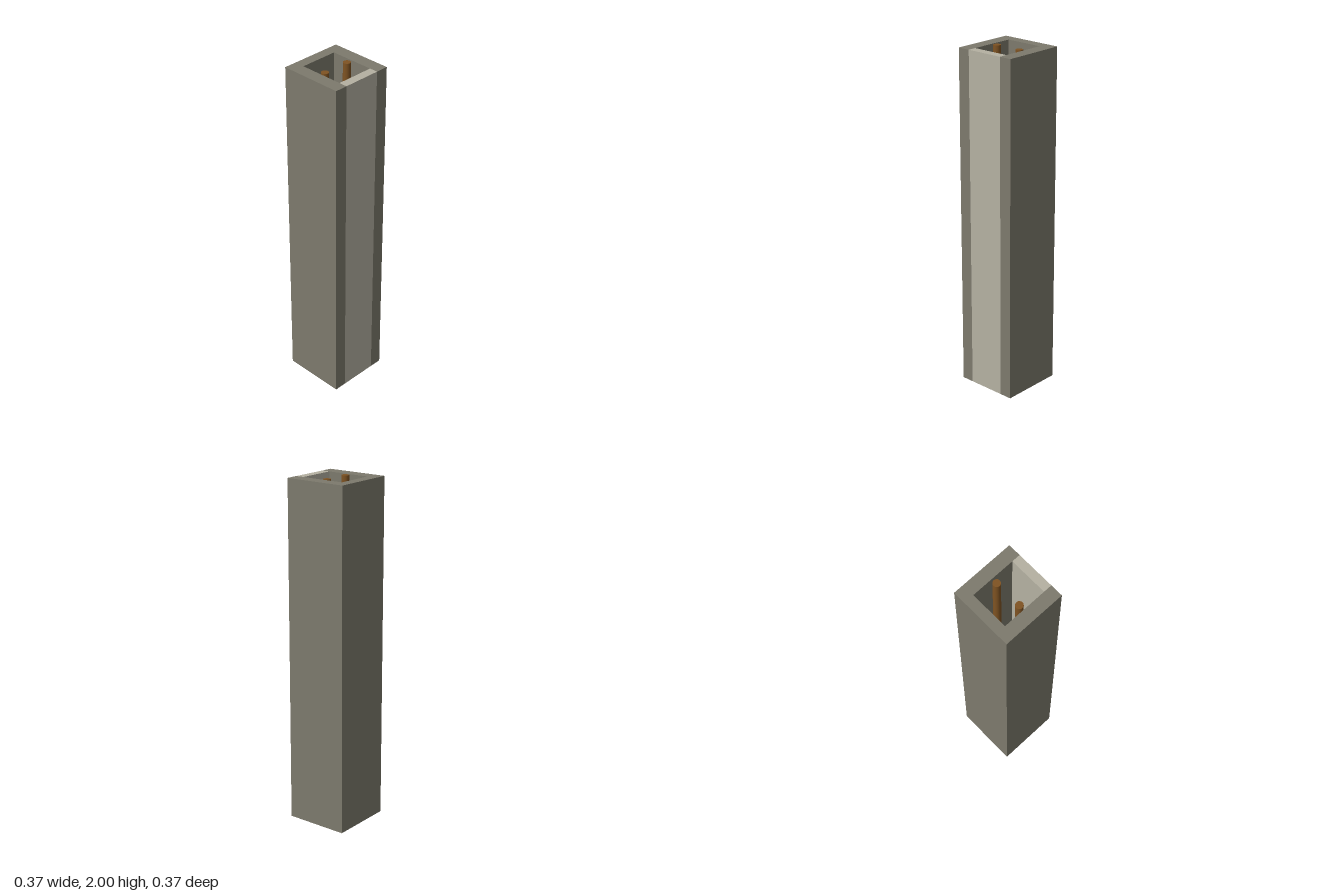
import * as THREE from 'three';

const HEIGHT = 2, HALF = 0.187, INNER_X = 0.113, BACK_Z = -0.127, COVER_Z = 0.137;

export function createModel() {
  const group = new THREE.Group();
  const stone = new THREE.MeshStandardMaterial({ name: 'dark stone', color: 0x7d7a6d });
  const pale = new THREE.MeshStandardMaterial({ name: 'pale stone', color: 0xb5b1a2 });
  const copper = new THREE.MeshStandardMaterial({ name: 'copper brown', color: 0x7f5322 });

  const add = (name, geometry, material, x, y, z) => {
    const mesh = new THREE.Mesh(geometry, material);
    mesh.name = name;
    mesh.position.set(x, y, z);
    group.add(mesh);
  };

  // U-shaped channel, open to the front: plan drawn as (x, -z), then stood upright
  const plan = new THREE.Shape([
    [-HALF, -HALF], [-INNER_X, -HALF], [-INNER_X, -BACK_Z], [INNER_X, -BACK_Z],
    [INNER_X, -HALF], [HALF, -HALF], [HALF, HALF], [-HALF, HALF],
  ].map(([x, y]) => new THREE.Vector2(x, y)));
  const channel = new THREE.ExtrudeGeometry(plan, { depth: HEIGHT, bevelEnabled: false });
  channel.rotateX(-Math.PI / 2);
  add('channel', channel, stone, 0, 0, 0);

  // Cover strip closing the front of the channel
  add('frontCover', new THREE.BoxGeometry(INNER_X * 2, HEIGHT, HALF - COVER_Z), pale,
    0, HEIGHT / 2, (HALF + COVER_Z) / 2);

  // Two full-height rods inside
  for (const [side, name] of [[1, 'leftRod'], [-1, 'rightRod']]) {
    add(name, new THREE.CylinderGeometry(0.0215, 0.0215, HEIGHT, 24), copper, side * 0.081, HEIGHT / 2, 0);
  }
  return group;
}
